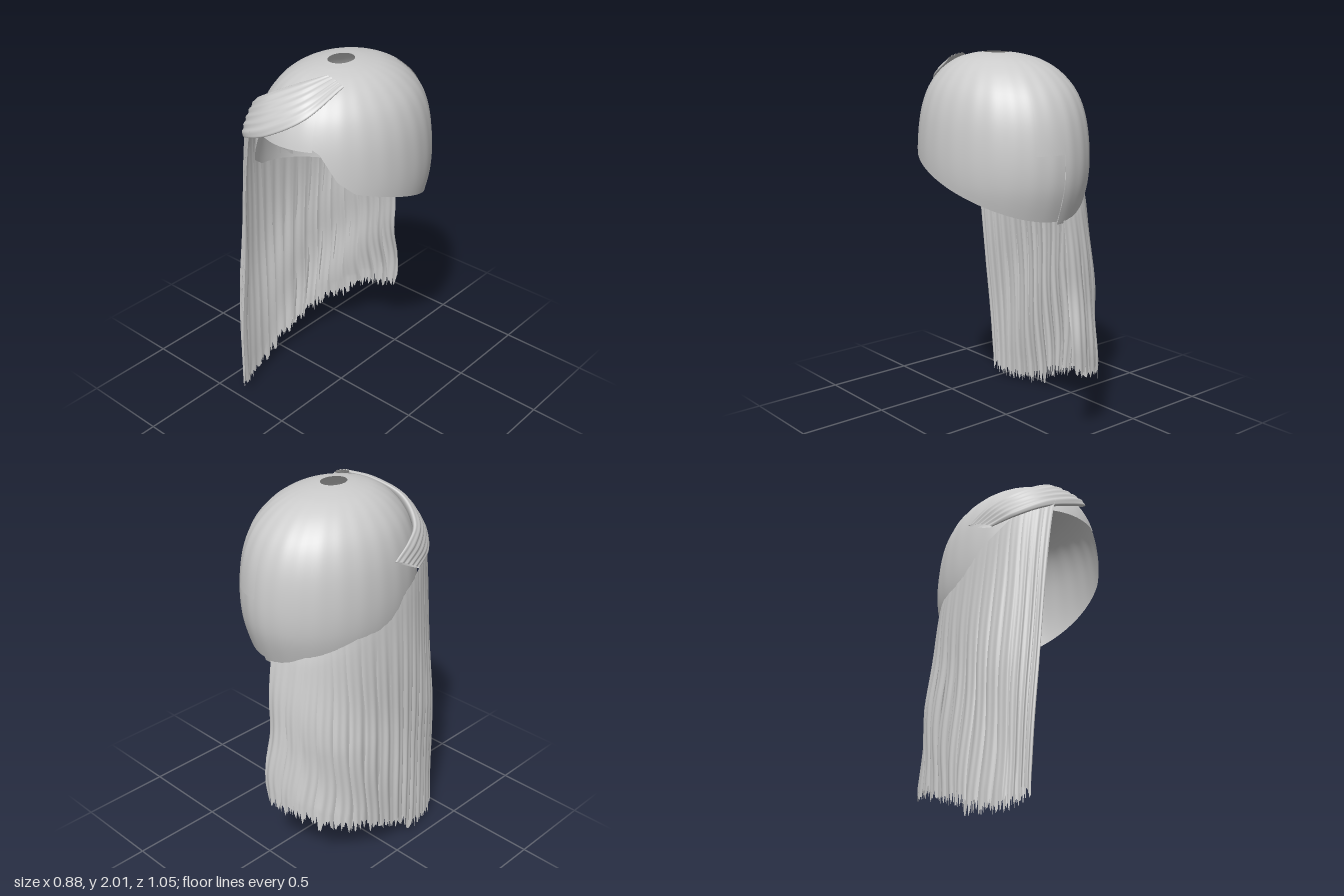
import * as THREE from 'three';

const V = (x, y, z) => new THREE.Vector3(x, y, z);
const material = new THREE.MeshStandardMaterial({ color: 0xcccccc, roughness: 0.8, side: THREE.DoubleSide });
const hash = (n) => { const s = Math.sin(n * 127.1) * 43758.5453; return s - Math.floor(s); };

// Smooth sheet whose points follow a rule of (u, v)
function sheet(name, nu, nv, rule) {
  const geo = new THREE.PlaneGeometry(1, 1, nu, nv);
  const pos = geo.attributes.position;
  for (let j = 0, k = 0; j <= nv; j++) {
    for (let i = 0; i <= nu; i++, k++) {
      const p = rule(i / nu, j / nv, i);
      pos.setXYZ(k, p.x, p.y, p.z);
    }
  }
  geo.computeVertexNormals();
  const mesh = new THREE.Mesh(geo, material);
  mesh.name = name;
  return mesh;
}

// Piecewise linear lookup
function lookup(table, x) {
  if (x <= table[0][0]) return table[0][1];
  for (let i = 1; i < table.length; i++) {
    const [x0, y0] = table[i - 1], [x1, y1] = table[i];
    if (x <= x1) return y0 + (y1 - y0) * (x - x0) / (x1 - x0);
  }
  return table[table.length - 1][1];
}

const curve = (pts) => new THREE.CatmullRomCurve3(pts.map((p) => V(...p)));

// Crown profile: x is the share of the full outline, y is height
const profile = curve([[0.15, 2, 0], [0.3, 1.99, 0], [0.5, 1.962, 0], [0.7, 1.9, 0], [0.86, 1.805, 0],
  [0.955, 1.68, 0], [1, 1.5, 0], [0.985, 1.35, 0], [0.9, 1.19, 0], [0.88, 1.16, 0]]);

// One panel of the crown between two angles (0 = front, positive = +x side)
function crownPanel(name, a0, a1, scale, edge) {
  const nu = 90;
  const ends = [];
  for (let i = 0; i <= nu; i++) {
    const a = a0 + (a1 - a0) * i / nu;
    const limit = edge(0.5 * Math.cos(a));
    let lo = 0, hi = 1;
    for (let k = 0; k < 18; k++) {
      const m = (lo + hi) / 2;
      if (profile.getPoint(m).y > limit) lo = m; else hi = m;
    }
    ends.push(lo);
  }
  return sheet(name, nu, 36, (u, v, i) => {
    const a = a0 + (a1 - a0) * u;
    const p = profile.getPoint(ends[i] * v);
    const ripple = 1 + 0.003 * Math.sin(a * 26) * Math.sin(Math.PI * v);
    const s = p.x * ripple * (1 + (scale - 1) * Math.min(1, v * 3));
    return V(0.035 - 0.007 * s + 0.405 * s * Math.sin(a), p.y, 0.045 * (1 - s) + 0.5 * s * Math.cos(a));
  });
}

// Strand tops (at the crown edge) and tips, running front to back
const tops = curve([[-0.14, 1.72, 0.505], [-0.25, 1.68, 0.425], [-0.345, 1.54, 0.25], [-0.37, 1.4, 0],
  [-0.32, 1.31, -0.24], [-0.2, 1.25, -0.38], [0, 1.23, -0.44]]);
const tips = curve([[-0.30, 0.12, 0.465], [-0.37, 0.08, 0.4], [-0.415, 0.1, 0.2], [-0.42, 0.19, 0],
  [-0.38, 0.27, -0.25], [-0.22, 0.37, -0.455], [-0.01, 0.42, -0.53]]);

// One hanging lock: a wavy curved strip with a ragged end, overlapping the next
function hairLock(index, count) {
  const overlap = 0.6;
  const drop = 0.05 * (hash(index + 5) - 0.5);
  return sheet('hairLock', 22, 32, (w, v, col) => {
    const sway = 0.009 * Math.sin(v * 10 + index * 0.8) * v;
    const u = THREE.MathUtils.clamp((index + (1 + overlap) * w) / (count + overlap) + sway, 0, 1);
    const a = tops.getPoint(u), b = tips.getPoint(u);
    const spread = Math.pow(v, 0.75);
    const out = V(a.x - 0.03, 0, a.z).normalize();
    const bulge = (0.02 * Math.sin(Math.PI * w) + 0.03 * (0.5 - w) + 0.003 * Math.sin(w * 19 + index)
      + 0.006 * Math.sin(v * 10 + index * 0.8)) * Math.min(1, 0.1 + v * 1.6);
    const ragged = v > 0.99 ? -0.09 * hash(index * 31 + col) + 0.05 * Math.abs(w - 0.5) : 0;
    return V(a.x + (b.x - a.x) * spread + out.x * bulge,
      a.y + (b.y - a.y) * v + ragged + drop * v,
      a.z + (b.z - a.z) * spread + out.z * bulge);
  });
}

// Swept fringe: flattened, ridged roll between an upper and a lower edge
function sweptFringe() {
  const upper = curve([[0.1, 1.985, 0.22], [0.02, 1.955, 0.3], [-0.13, 1.88, 0.37], [-0.28, 1.79, 0.3],
    [-0.345, 1.74, 0.18], [-0.37, 1.68, 0.06]]);
  const lower = curve([[0.21, 1.955, 0.22], [0.15, 1.84, 0.43], [-0.02, 1.735, 0.51], [-0.18, 1.67, 0.49],
    [-0.3, 1.615, 0.39], [-0.365, 1.585, 0.25]]);
  return sheet('sweptFringe', 64, 60, (w, u) => {
    const a = upper.getPoint(u), b = lower.getPoint(u);
    const mid = a.clone().add(b).multiplyScalar(0.5);
    const half = a.clone().sub(b).multiplyScalar(0.5);
    const out = mid.clone().sub(V(0.03, 1.5, 0)).normalize();
    const ang = w * Math.PI * 2;
    const c = Math.cos(ang), s = Math.sin(ang);
    const ridge = s > 0 ? 0.004 * Math.sin(c * 17 + u * 4) * s : 0;
    const thick = 0.013 + 0.017 * Math.sin(Math.PI * u);
    return mid.addScaledVector(half, c).addScaledVector(out, thick * s + ridge);
  });
}

export function createModel() {
  const model = new THREE.Group();
  model.name = 'hair';

  // Crown: outer right panel, inner left panel and the overlap at the back
  const rightEdge = (z) => lookup([[-0.5, 1.17], [0.25, 1.39], [0.38, 1.49], [0.43, 1.61], [0.45, 1.69]], z);
  const leftEdge = (z) => lookup([[-0.5, 1.185], [0.3, 1.47], [0.37, 1.54], [0.43, 1.68], [0.46, 1.71]], z);
  model.add(
    crownPanel('rightCrown', 0.45, -Math.PI - 0.03, 1.012, rightEdge),
    crownPanel('leftCrown', 0.35, Math.PI - 0.03, 1.001, leftEdge),
    crownPanel('backOverlap', -Math.PI - 0.03, -Math.PI - 0.42, 1.014, () => 1.53),
  );

  // Long strands down one side
  const strands = new THREE.Group();
  strands.name = 'longStrands';
  const count = 16;
  for (let i = 0; i < count; i++) strands.add(hairLock(i, count));
  model.add(strands);

  model.add(sweptFringe());
  return model;
}
